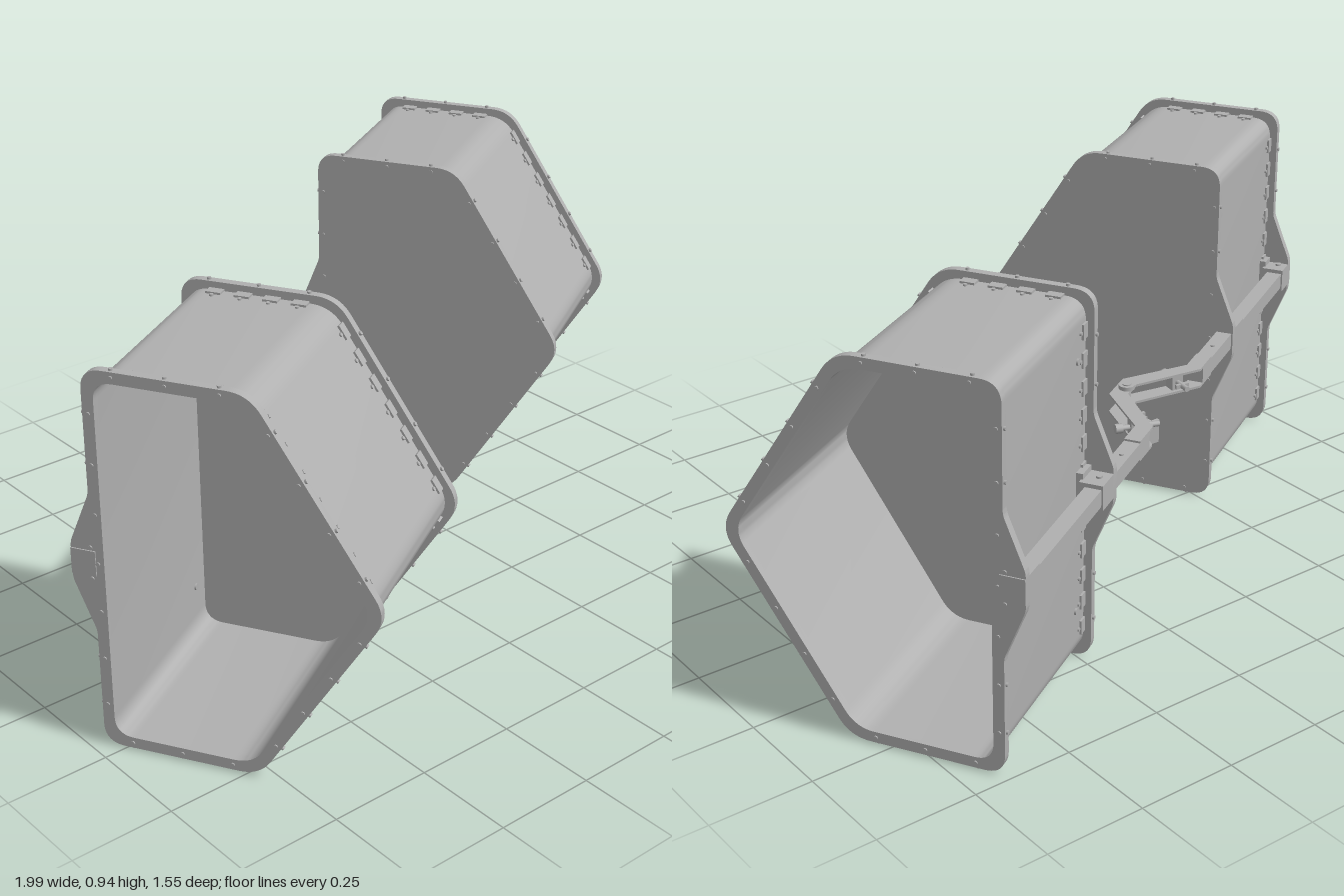
import * as THREE from 'three';
import { toCreasedNormals } from 'three/addons/utils/BufferGeometryUtils.js';

const metal = new THREE.MeshStandardMaterial({ color: 0xb0b0b0 });
metal.name = 'grey metal';

const MID = 0.469;               // height of the bar
const U0 = 0.423, U1 = 0.943;    // closed and open ends of a bucket

// Five-sided bucket section as [z, y], clockwise from the back top corner
const SECTION = [[-0.307, 0.464], [0.066, 0.464], [0.36, 0], [0.066, -0.464], [-0.307, -0.464]];
const LUG = [[-0.307, -0.17], [-0.357, -0.045], [-0.357, 0.045], [-0.307, 0.17]];

function inset(points, d) {
  const n = points.length;
  const normal = (i) => {
    const [a, b] = [points[(i + n) % n], points[(i + 1) % n]];
    const l = Math.hypot(b[0] - a[0], b[1] - a[1]);
    return [-(b[1] - a[1]) / l, (b[0] - a[0]) / l];
  };
  return points.map((p, i) => {
    const m = normal(i - 1), k = normal(i), f = d / (1 + m[0] * k[0] + m[1] * k[1]);
    return [p[0] - f * (m[0] + k[0]), p[1] - f * (m[1] + k[1])];
  });
}

// Polygon with rounded corners; z is negated so the extrusion can turn onto x
function rounded(points, t, path) {
  const n = points.length, v = points.map(([z, y]) => new THREE.Vector2(-z, y));
  v.forEach((p, i) => {
    const cut = i < 5 ? t : 0.012;
    const a = p.clone().add(v[(i + n - 1) % n].clone().sub(p).setLength(cut));
    const b = p.clone().add(v[(i + 1) % n].clone().sub(p).setLength(cut));
    if (i === 0) path.moveTo(a.x, a.y); else path.lineTo(a.x, a.y);
    path.quadraticCurveTo(p.x, p.y, b.x, b.y);
  });
  path.closePath();
  return path;
}

function slab(outer, tOuter, hole, tHole, x, depth) {
  const shape = rounded(outer, tOuter, new THREE.Shape());
  if (hole) shape.holes.push(rounded(hole, tHole, new THREE.Path()));
  const g = new THREE.ExtrudeGeometry(shape, { depth, bevelEnabled: false, curveSegments: 10 });
  g.rotateY(Math.PI / 2).translate(x, 0, 0);
  return toCreasedNormals(g, 0.5);
}

function add(parent, name, geometry, x = 0, y = 0, z = 0) {
  const m = new THREE.Mesh(geometry, metal);
  m.name = name;
  m.position.set(x, y, z);
  parent.add(m);
  return m;
}
const box = (w, h, d) => new THREE.BoxGeometry(w, h, d);
const cyl = (r, h, n = 12) => new THREE.CylinderGeometry(r, r, h, n);

const tabGeo = box(0.024, 0.006, 0.036);
const rivetGeo = cyl(0.005, 0.006, 8);
const faceRivetGeo = rivetGeo.clone().rotateZ(Math.PI / 2);

// Calls place(z, y, tilt) at even steps along each side of a section
function alongSides(points, step, place) {
  points.forEach((a, i) => {
    const b = points[(i + 1) % points.length];
    const dz = b[0] - a[0], dy = b[1] - a[1];
    const n = Math.floor((Math.hypot(dz, dy) - 0.1) / step);
    for (let k = 0; k <= n; k++) {
      const f = 0.5 + ((k - n / 2) * step) / Math.hypot(dz, dy);
      place(a[0] + dz * f, a[1] + dy * f, Math.atan2(-dy, dz));
    }
  });
}

function makeBucket() {
  const g = new THREE.Group();
  const flange = [...SECTION, ...LUG];
  const body = inset(SECTION, 0.02), inner = inset(SECTION, 0.027);

  // Thin shell, closed inner end and open outer rim
  add(g, 'bucketWall', slab(body, 0.05, inner, 0.046, U0 + 0.01, U1 - U0 - 0.02));
  add(g, 'closedEnd', slab(flange, 0.05, null, 0, U0, 0.02));
  add(g, 'openRim', slab(flange, 0.05, inner, 0.046, U1 - 0.02, 0.02));

  // Riveted tabs that tie the wall to both flanges
  for (const [x, dir] of [[U0 + 0.02, 1], [U1 - 0.02, -1]]) {
    alongSides(inset(SECTION, 0.018), 0.068, (z, y, tilt) => {
      add(g, 'flangeTab', tabGeo, x + dir * 0.012, y, z).rotation.x = tilt;
    });
    alongSides(inset(SECTION, 0.019), 0.068, (z, y, tilt) => {
      add(g, 'wallRivet', rivetGeo, x + dir * 0.032, y, z).rotation.x = tilt;
    });
    alongSides(inset(SECTION, -0.002), 0.12, (z, y, tilt) => {
      add(g, 'edgeRivet', rivetGeo, x - dir * 0.01, y, z).rotation.x = tilt;
    });
  }
  alongSides(inset(SECTION, 0.013), 0.12, (z, y) => {
    add(g, 'rimRivet', faceRivetGeo, U1, y, z);
    add(g, 'endRivet', faceRivetGeo, U0, y, z);
  });
  // Bolts through the back wall
  for (const y of [-0.315, 0.315]) {
    add(g, 'backBolt', cyl(0.008, 0.016), U0 + 0.07, y, -0.284).rotation.x = Math.PI / 2;
  }

  // Bar behind the bucket, held by two clamps
  add(g, 'carryBar', box(0.75, 0.042, 0.04), 0.57, 0, -0.333);
  for (const x of [U0 + 0.047, U1 - 0.035]) {
    add(g, 'barClamp', box(0.076, 0.062, 0.058), x, 0, -0.328);
    add(g, 'clampFoot', box(0.05, 0.09, 0.02), x, 0, -0.294);
    add(g, 'clampBolt', cyl(0.008, 0.072), x, 0, -0.333);
    for (const y of [-0.035, 0.035]) add(g, 'clampScrew', faceRivetGeo, U1, y * 1.1, -0.31);
  }
  for (const x of [0.24, 0.33]) add(g, 'barRivet', cyl(0.006, 0.05, 8), x, 0, -0.333);
  return g;
}

// Bent double plates joining both bars at a central pivot
function makeLinkage() {
  const g = new THREE.Group();
  const s = new THREE.Shape();
  const half = [[0.26, -0.313], [0.186, -0.313], [0.046, -0.194]];
  const back = [[0.028, -0.236], [0.176, -0.353], [0.26, -0.353]];
  const loop = [...half, ...half.map(([x, z]) => [-x, z]).reverse(),
    ...back.map(([x, z]) => [-x, z]).reverse(), ...back];
  s.setFromPoints(loop.map(([x, z]) => new THREE.Vector2(x, -z)));
  const plate = new THREE.ExtrudeGeometry(s, { depth: 0.006, bevelEnabled: false });
  plate.rotateX(-Math.PI / 2);
  for (const y of [-0.026, 0.02]) add(g, 'linkPlate', plate, 0, y, 0);

  // Cross pins with a head, spacer and handle on each arm
  for (const side of [-1, 1]) {
    const pin = new THREE.Group();
    pin.name = 'lockPin';
    pin.position.set(side * 0.14, 0, -0.297);
    pin.rotation.y = side * 0.68;
    add(pin, 'pinSpacer', box(0.03, 0.038, 0.03));
    add(pin, 'pinShaft', cyl(0.007, 0.11), 0, 0, -0.005).rotation.x = Math.PI / 2;
    add(pin, 'pinHead', cyl(0.012, 0.018), 0, 0, 0.042).rotation.x = Math.PI / 2;
    add(pin, 'pinHandle', box(0.036, 0.01, 0.008), 0, 0, -0.035);
    g.add(pin);
  }

  // Pivot and the hanging hitch block
  add(g, 'pivotPin', cyl(0.011, 0.078, 16), 0, 0, -0.222);
  add(g, 'pivotHead', cyl(0.02, 0.01, 16), 0, 0.031, -0.222);
  const hitch = new THREE.Group();
  hitch.name = 'hitch';
  hitch.position.set(0, 0, -0.222);
  hitch.rotation.y = -Math.PI / 6;
  add(hitch, 'hitchArm', box(0.022, 0.012, 0.075), 0, -0.035, -0.03);
  add(hitch, 'hitchCore', box(0.04, 0.044, 0.05), 0, -0.062, -0.062);
  for (const z of [-0.036, -0.088]) add(hitch, 'hitchPlate', box(0.056, 0.06, 0.008), 0, -0.062, z);
  add(hitch, 'hitchBolt', cyl(0.011, 0.07), 0, -0.062, -0.06).rotation.x = Math.PI / 2;
  g.add(hitch);
  return g;
}

export function createModel() {
  const model = new THREE.Group();
  model.name = 'twinBucketYoke';
  const yoke = new THREE.Group();
  yoke.name = 'yoke';
  yoke.position.y = MID;
  yoke.rotation.y = Math.PI / 6;

  const left = makeBucket(), right = makeBucket(), linkage = makeLinkage();
  left.name = 'leftBucket';
  right.name = 'rightBucket';
  right.rotation.z = Math.PI;    // a half turn mirrors the symmetric bucket
  linkage.name = 'linkage';
  yoke.add(left, right, linkage);
  model.add(yoke);
  return model;
}
